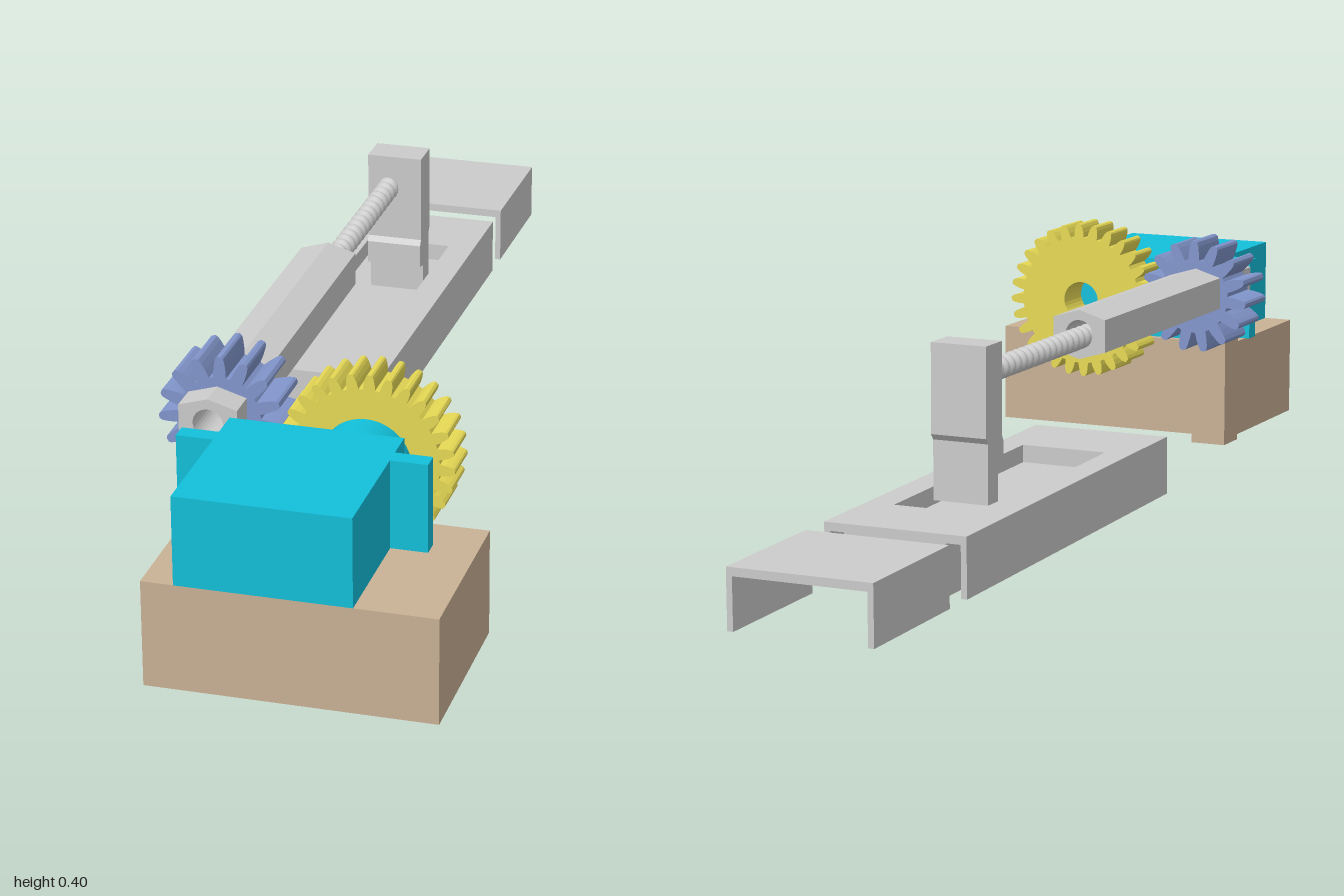
import * as THREE from 'three';

const mat = (color) => new THREE.MeshStandardMaterial({ color });
const grey = mat(0xcccccc), teal = mat(0x12c0da), brown = mat(0xc9b195);
const blue = mat(0x8296cc), yellow = mat(0xe6d955);

function add(parent, name, geometry, material) {
  const mesh = new THREE.Mesh(geometry, material);
  mesh.name = name;
  parent.add(mesh);
  return mesh;
}

// Box given by its limits on each axis
function box(parent, name, material, x0, x1, y0, y1, z0, z1) {
  const mesh = add(parent, name, new THREE.BoxGeometry(x1 - x0, y1 - y0, z1 - z0), material);
  mesh.position.set((x0 + x1) / 2, (y0 + y1) / 2, (z0 + z1) / 2);
  return mesh;
}

const polygon = (pts) => new THREE.Shape(pts.map(([x, y]) => new THREE.Vector2(x, y)));
const extrude = (shape, depth) =>
  new THREE.ExtrudeGeometry(shape, { depth, bevelEnabled: false, curveSegments: 16 });

function bore(shape, r) {
  shape.holes.push(new THREE.Path().absarc(0, 0, r, 0, Math.PI * 2, true));
  return shape;
}

// Spur gear: each tooth goes from a wide root to a narrow rounded tip
function gear(teeth, rootR, tipR, rootHalf, tipHalf, phase, holeR, depth) {
  const pts = [];
  const h = tipR - rootR;
  const side = [[rootR, rootHalf], [rootR + h * 0.35, rootHalf * 0.95],
    [rootR + h * 0.7, (rootHalf + tipHalf) / 2], [tipR - h * 0.08, tipHalf], [tipR, tipHalf * 0.5]];
  const tooth = [...side.map(([r, w]) => [r, -w]), ...side.slice().reverse()];
  for (let i = 0; i < teeth; i++) {
    const a = phase + (i / teeth) * Math.PI * 2;
    for (const [r, w] of tooth) {
      const t = a + w / r;
      pts.push([r * Math.cos(t), r * Math.sin(t)]);
    }
  }
  return extrude(bore(polygon(pts), holeR), depth);
}

// Rod with a helical thread, along y
function threadedRod(length, radius, amp, pitch) {
  const g = new THREE.CylinderGeometry(radius, radius, length, 20, Math.round((length / pitch) * 8));
  const p = g.attributes.position;
  for (let i = 0; i < p.count; i++) {
    const x = p.getX(i), y = p.getY(i), z = p.getZ(i);
    if (Math.hypot(x, z) < 1e-5) continue;
    const a = Math.atan2(z, x);
    const r = radius + amp * Math.cos((y / pitch) * Math.PI * 2 - a);
    p.setXYZ(i, r * Math.cos(a), y, r * Math.sin(a));
  }
  g.computeVertexNormals();
  return g;
}

export function createModel() {
  const model = new THREE.Group();
  model.name = 'linearActuator';

  // Mounting base and rod support
  box(model, 'base', brown, -0.167, 0.297, 0, 0.177, 0.7, 1);
  box(model, 'rodSupport', brown, -0.185, -0.12, 0, 0.255, 0.625, 0.688);

  // Motor with side flanges and output boss
  const motor = new THREE.Group();
  motor.name = 'motor';
  model.add(motor);
  box(motor, 'motorBody', teal, -0.115, 0.165, 0.177, 0.325, 0.715, 1);
  box(motor, 'flangeRight', teal, -0.175, -0.115, 0.177, 0.325, 0.768, 0.797);
  box(motor, 'flangeLeft', teal, 0.165, 0.225, 0.177, 0.325, 0.768, 0.797);
  for (const [name, x, r] of [['outputBoss', 0.09, 0.073], ['idlerBoss', 0.015, 0.036]]) {
    const boss = add(motor, name, new THREE.CylinderGeometry(r, r, 0.052, 40), teal);
    boss.rotation.x = Math.PI / 2;
    boss.position.set(x, 0.252, 0.691);
  }

  // Meshing gears
  const drive = add(model, 'driveGear',
    gear(28, 0.118, 0.1425, 0.0095, 0.005, 1.53, 0.034, 0.075), yellow);
  drive.position.set(0.09, 0.257, 0.59);
  const driven = add(model, 'drivenGear',
    gear(15, 0.067, 0.102, 0.0105, 0.0065, Math.PI / 2, 0.03, 0.097), blue);
  driven.position.set(-0.155, 0.288, 0.543);

  // Hexagonal sleeve with a bore
  const hex = polygon([[0.048, -0.028], [0.048, 0.028], [0, 0.0425],
    [-0.048, 0.028], [-0.048, -0.028], [0, -0.0425]]);
  const sleeve = add(model, 'hexSleeve', extrude(bore(hex, 0.025), 0.66), grey);
  sleeve.position.set(-0.159, 0.297, 0.03);

  // Lead screw running into the sleeve
  const screw = add(model, 'leadScrew', threadedRod(0.5, 0.0165, 0.0032, 0.023), grey);
  screw.rotation.x = Math.PI / 2;
  screw.position.set(-0.161, 0.292, -0.12);

  // Upright pusher block, profile in (z, y)
  const pusher = polygon([[-0.42, 0.35], [-0.42, 0.2], [-0.412, 0.19], [-0.412, 0.09], [-0.375, 0.09],
    [-0.375, 0.14], [-0.354, 0.145], [-0.354, 0.185], [-0.36, 0.195], [-0.36, 0.35]]);
  const block = add(model, 'pusherBlock', extrude(pusher, 0.098), grey);
  block.rotation.y = -Math.PI / 2;
  block.position.x = -0.102;
  block.geometry.translate(0, 0, 0);

  // Slightly tilted rail and end cover
  const rail = new THREE.Group();
  rail.name = 'rail';
  rail.rotation.x = -0.0206;
  model.add(rail);
  const top = 0.12, bottom = 0.0206, under = 0.106;
  const x0 = -0.298, x1 = -0.052, z0 = -0.69, z1 = 0.09;
  for (const [name, a, b] of [['slider', z0, z1], ['endCover', -1, -0.75]]) {
    box(rail, name + 'WallRight', grey, x0, x0 + 0.01, bottom, under, a, b);
    box(rail, name + 'WallLeft', grey, x1 - 0.01, x1, bottom, under, a, b);
  }
  box(rail, 'endCoverTop', grey, x0, x1, under, top, -1, -0.75);

  // Slider top plate and core, both open to the pocket
  const pocketPlate = (name, xa, xb, yTop, depth) => {
    const s = polygon([[xa, -z1], [xb, -z1], [xb, -z0], [xa, -z0]]);
    s.holes.push(polygon([[-0.252, 0.065], [-0.252, 0.545], [-0.1, 0.545], [-0.1, 0.065]]));
    const plate = add(rail, name, extrude(s, depth), grey);
    plate.rotation.x = -Math.PI / 2;
    plate.position.y = yTop - depth;
  };
  pocketPlate('sliderTop', x0, x1, top, top - under);
  pocketPlate('sliderPocketRim', -0.263, -0.087, under, 0.016);
  box(rail, 'sliderCore', grey, -0.263, -0.087, bottom, under - 0.016, z0, z1);

  return model;
}
